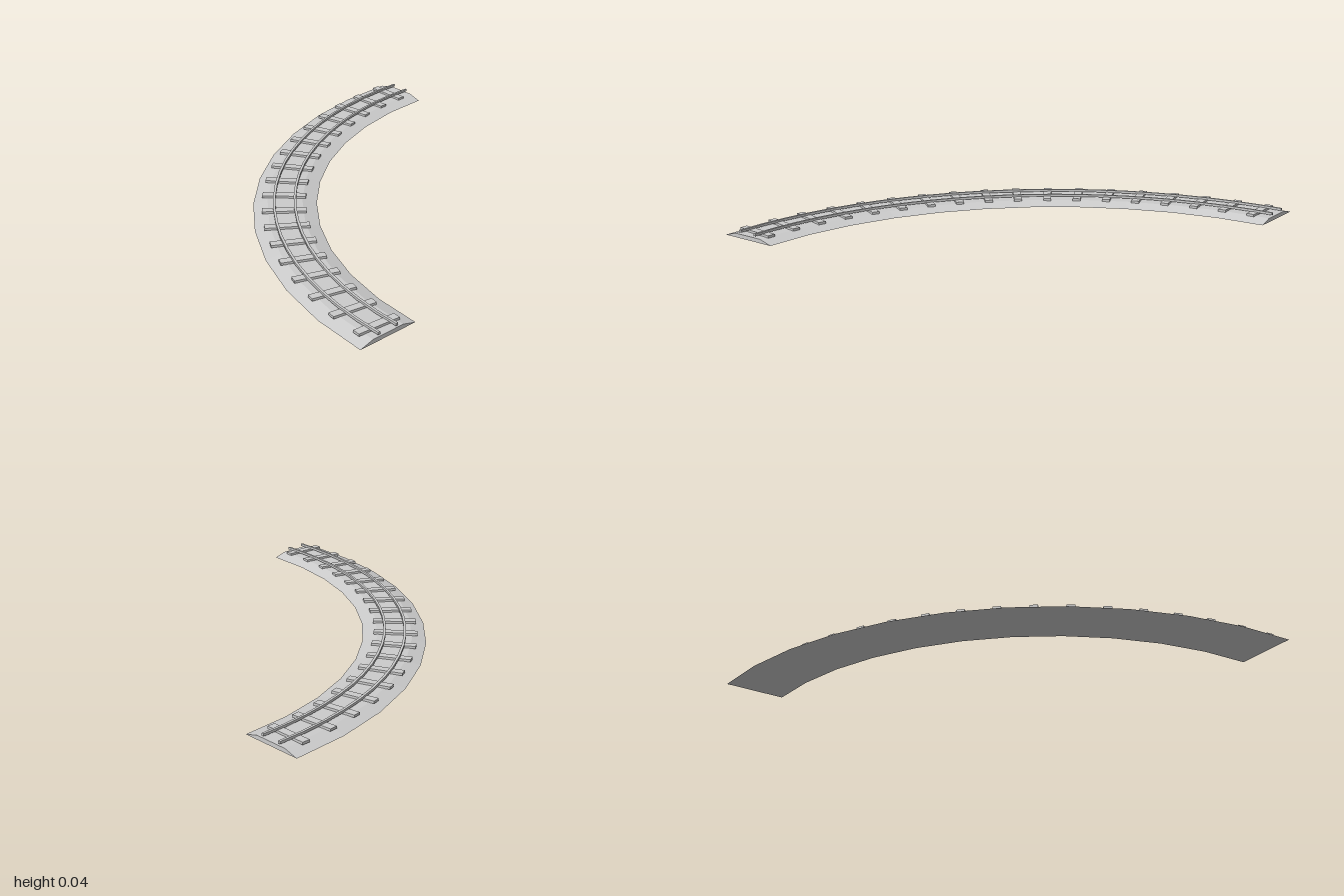
import * as THREE from 'three';

const material = new THREE.MeshStandardMaterial({ color: 0xcccccc, flatShading: true });

// Sweep a convex section of [radius, height] corners (anticlockwise)
// through a quarter turn about the corner (1, 1), with closed ends.
function sweepCurve(section, segments) {
  const positions = [];
  const point = (i, j) => {
    const t = (j / segments) * Math.PI / 2;
    const [r, y] = section[i % section.length];
    return [1 - r * Math.sin(t), y, 1 - r * Math.cos(t)];
  };
  const triangle = (a, b, c) => positions.push(...a, ...b, ...c);
  for (let j = 0; j < segments; j++) {
    for (let i = 0; i < section.length; i++) {
      triangle(point(i, j), point(i, j + 1), point(i + 1, j));
      triangle(point(i + 1, j), point(i, j + 1), point(i + 1, j + 1));
    }
  }
  for (let i = 1; i < section.length - 1; i++) {
    triangle(point(0, 0), point(i, 0), point(i + 1, 0));
    triangle(point(0, segments), point(i + 1, segments), point(i, segments));
  }
  const geometry = new THREE.BufferGeometry();
  geometry.setAttribute('position', new THREE.Float32BufferAttribute(positions, 3));
  geometry.computeVertexNormals();
  return geometry;
}

export function createModel() {
  const model = new THREE.Group();
  model.name = 'curvedTrack';
  const add = (name, geometry, parent = model) => {
    const mesh = new THREE.Mesh(geometry, material);
    mesh.name = name;
    parent.add(mesh);
    return mesh;
  };

  // Ballast bed with sloping shoulders
  add('ballast', sweepCurve([[1.69, 0], [2, 0], [1.93, 0.02], [1.76, 0.02]], 11));

  // Two rails
  for (const [name, r] of [['innerRail', 1.79], ['outerRail', 1.89]]) {
    add(name, sweepCurve([[r, 0.029], [r + 0.012, 0.029], [r + 0.012, 0.041], [r, 0.041]], 22));
  }

  // Sleepers, one every five degrees around the curve's centre
  const sleepers = new THREE.Group();
  sleepers.name = 'sleepers';
  sleepers.position.set(1, 0, 1);
  model.add(sleepers);
  const sleeperGeometry = new THREE.BoxGeometry(0.04, 0.012, 0.214);
  sleeperGeometry.translate(-0.095, 0.025, -1.847);
  for (let i = 0; i < 18; i++) {
    add('sleeper', sleeperGeometry, sleepers).rotation.y = THREE.MathUtils.degToRad(i * 5);
  }
  return model;
}
